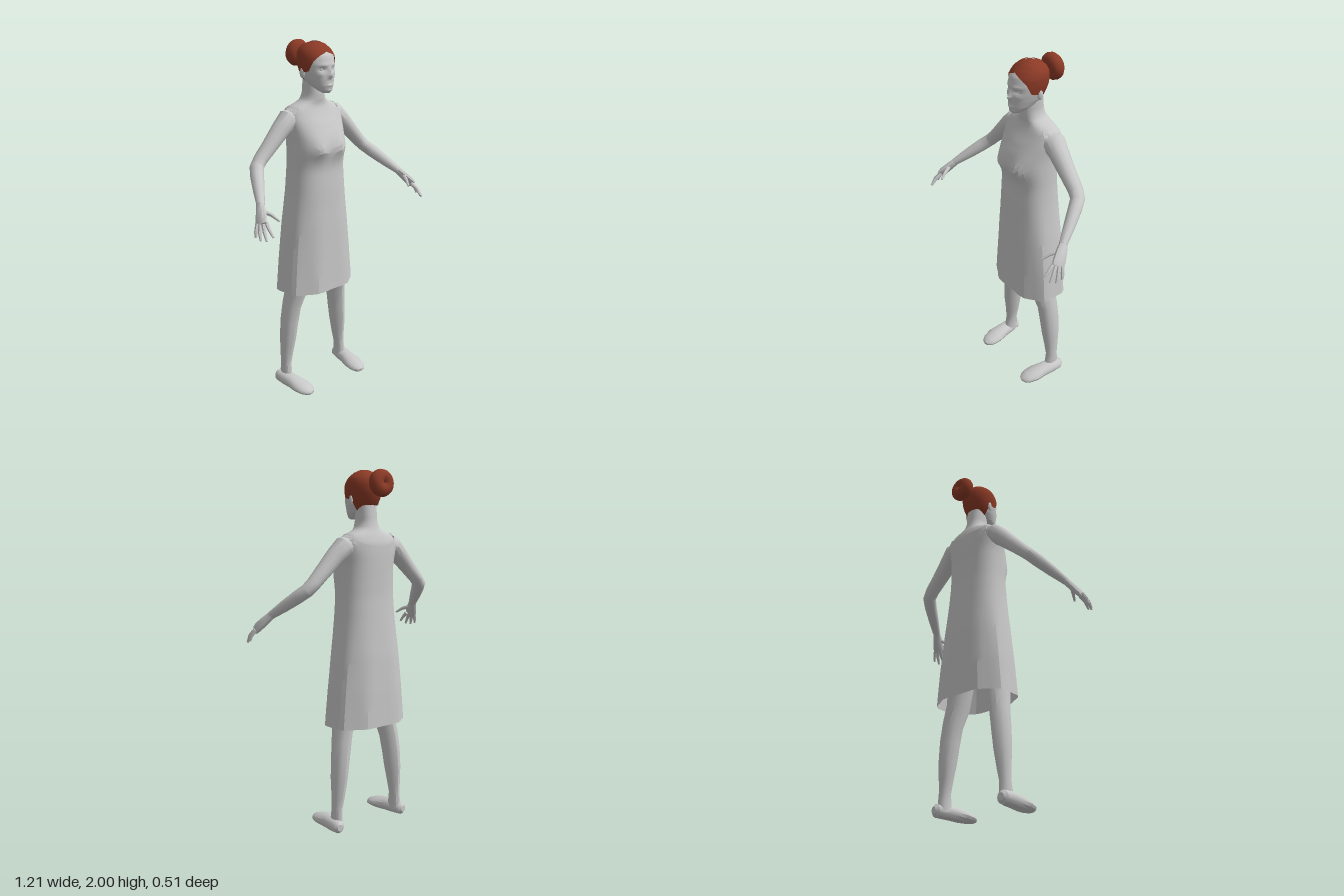
import * as THREE from 'three';
import { toCreasedNormals } from 'three/addons/utils/BufferGeometryUtils.js';

const grey = new THREE.MeshStandardMaterial({ color: 0xc8c8c8 });
grey.name = 'pale grey';
const cloth = new THREE.MeshStandardMaterial({ color: 0xc8c8c8, side: THREE.DoubleSide });
cloth.name = 'pale grey cloth';
const red = new THREE.MeshStandardMaterial({ color: 0x8b3a26, side: THREE.DoubleSide });
red.name = 'auburn hair';

// Cross-sections: height, half width, front z, back z
const BODY = [
  [0.6, 0.235, 0.075, -0.225], [0.8, 0.218, 0.07, -0.222], [1.0, 0.195, 0.066, -0.215],
  [1.1, 0.182, 0.062, -0.207], [1.2, 0.17, 0.06, -0.2], [1.32, 0.162, 0.054, -0.192],
  [1.42, 0.162, 0.066, -0.192], [1.5, 0.163, 0.06, -0.193], [1.56, 0.172, 0.03, -0.193],
  [1.61, 0.18, 0, -0.19], [1.65, 0.165, -0.02, -0.175], [1.67, 0.11, -0.025, -0.165],
  [1.69, 0.068, -0.02, -0.155], [1.73, 0.055, -0.018, -0.145], [1.82, 0.055, -0.03, -0.135],
];
const HEAD = [
  [1.737, 0.02, 0.045, 0], [1.75, 0.04, 0.055, -0.03], [1.775, 0.06, 0.058, -0.09],
  [1.81, 0.076, 0.058, -0.13], [1.85, 0.088, 0.055, -0.152], [1.89, 0.094, 0.052, -0.165],
  [1.93, 0.094, 0.04, -0.165], [1.96, 0.083, 0.015, -0.152], [1.985, 0.055, -0.015, -0.125],
  [2.0, 0.018, -0.045, -0.085],
];
// Upper edge of the dress and lower edge of the hair, by angle from the front
const NECKLINE = [[0, 1.555], [0.35, 1.57], [0.7, 1.62], [1, 1.66], [2.1, 1.66], [2.5, 1.62], [Math.PI, 1.59]];
const HAIRLINE = [[0, 1.952], [0.5, 1.935], [0.9, 1.905], [1.25, 1.85], [1.7, 1.845], [2.2, 1.785], [Math.PI, 1.755]];

// Soft bumps: x, y, x spread, y spread, depth
const FACE = [[0, 1.828, 0.011, 0.012, 0.021], [0, 1.853, 0.009, 0.018, 0.01],
  [0, 1.778, 0.02, 0.007, 0.008], [0, 1.75, 0.016, 0.01, 0.004]];
for (const s of [1, -1]) {
  FACE.push([s * 0.036, 1.862, 0.018, 0.01, -0.012], [s * 0.032, 1.885, 0.022, 0.008, 0.005],
    [s * 0.05, 1.835, 0.018, 0.015, 0.004]);
}
const BUST = [[0.075, 1.435, 0.055, 0.05, 0.028], [-0.075, 1.435, 0.055, 0.05, 0.028]];

function bumps(list, p) {
  let d = 0;
  for (const [x, y, sx, sy, h] of list) d += h * Math.exp(-(((p.x - x) / sx) ** 2) - ((p.y - y) / sy) ** 2);
  return d;
}

// Linear lookup in a table keyed by its first column
function lookup(table, k) {
  if (k <= table[0][0]) return table[0];
  for (let i = 1; i < table.length; i++) {
    if (k > table[i][0]) continue;
    const a = table[i - 1], b = table[i], f = (k - a[0]) / (b[0] - a[0]);
    return a.map((v, n) => v + (b[n] - v) * f);
  }
  return table[table.length - 1];
}
const edge = (table) => (t) => lookup(table, t > Math.PI ? 2 * Math.PI - t : t)[1];

// Closed rings joined into a skin, optionally capped
function skin(rows, sides, point, capped, crease = 0.6) {
  const pos = [], idx = [];
  for (let i = 0; i < rows; i++) {
    for (let j = 0; j < sides; j++) pos.push(...point(i, (j / sides) * Math.PI * 2).toArray());
  }
  for (let i = 0; i < rows - 1; i++) {
    for (let j = 0; j < sides; j++) {
      const a = i * sides + j, b = i * sides + ((j + 1) % sides);
      idx.push(a, b, b + sides, a, b + sides, a + sides);
    }
  }
  if (capped) {
    for (const row of [0, rows - 1]) {
      const c = new THREE.Vector3(), at = row * sides, n = pos.length / 3;
      for (let j = 0; j < sides; j++) c.add(new THREE.Vector3().fromArray(pos, (at + j) * 3));
      pos.push(...c.divideScalar(sides).toArray());
      for (let j = 0; j < sides; j++) {
        const a = at + j, b = at + ((j + 1) % sides);
        idx.push(n, row ? a : b, row ? b : a);
      }
    }
  }
  const g = new THREE.BufferGeometry();
  g.setAttribute('position', new THREE.Float32BufferAttribute(pos, 3));
  g.setIndex(idx);
  return toCreasedNormals(g, crease);
}

// Upright shell over a section table, between a lower and an upper edge
function shell(o) {
  const pw = (v) => Math.sign(v) * Math.abs(v) ** (2 / (o.square || 2));
  return skin(o.rows, o.sides, (i, t) => {
    const u = i / (o.rows - 1), lo = o.low(t), hi = o.high(t);
    const y = lo + (hi - lo) * (1 - (1 - u) ** (o.ease || 1));
    const [, w, f, b] = lookup(o.table, y), k = o.offset || 0;
    const p = new THREE.Vector3((w + k) * pw(Math.sin(t)), y, (f + b) / 2 + ((f - b) / 2 + k) * pw(Math.cos(t)));
    if (o.shape) o.shape(p, t);
    return p;
  }, o.capped, o.crease);
}

// Tapered limb through points x, y, z, radius, second radius
function limb(pts, side, sides = 10, ref = new THREE.Vector3(0, 0, 1)) {
  const c = pts.map((p) => new THREE.Vector3(p[0] * side, p[1], p[2]));
  return skin(pts.length, sides, (i, t) => {
    const dir = c[Math.min(i + 1, c.length - 1)].clone().sub(c[Math.max(i - 1, 0)]).normalize();
    const u = ref.clone().cross(dir).normalize(), v = dir.clone().cross(u);
    const a = pts[i][3], b = pts[i][4] ?? a;
    const p = c[i].clone().addScaledVector(u, a * Math.cos(t)).addScaledVector(v, b * Math.sin(t));
    p.y = Math.max(p.y, 0);
    return p;
  }, true);
}

export function createModel() {
  const model = new THREE.Group();
  model.name = 'woman';
  const add = (name, geo, mat = grey, parent = model) => {
    const m = new THREE.Mesh(geo, mat);
    m.name = name;
    parent.add(m);
    return m;
  };

  // Torso, neck and dress
  add('neckAndShoulders', shell({ table: BODY, rows: 26, sides: 28, square: 2.3, low: () => 1.45, high: () => 1.82, capped: true }));
  add('dress', shell({
    table: BODY, rows: 34, sides: 36, square: 2.4, offset: 0.005, crease: 0.35,
    low: () => 0.6, high: edge(NECKLINE),
    shape: (p, t) => {
      if (Math.cos(t) > 0) p.z += bumps(BUST, p);
      const fold = 0.006 * Math.max(0, Math.min(1, (1.15 - p.y) / 0.5)) * Math.cos(8 * t + 2.6);
      p.x += fold * Math.sin(t);
      p.z += fold * Math.cos(t);
    },
  }), cloth);

  // Head, hair and bun
  add('head', shell({
    table: HEAD, rows: 42, sides: 56, low: () => 1.737, high: () => 1.99, capped: true, crease: 0.8,
    shape: (p, t) => { if (Math.cos(t) > 0) p.z += bumps(FACE, p); },
  }));
  add('hair', shell({
    table: HEAD, rows: 16, sides: 36, offset: 0.005, ease: 1.6, capped: false,
    low: edge(HAIRLINE), high: () => 2,
  }), red);
  const crown = add('hairCrown', new THREE.SphereGeometry(0.024, 16, 8), red);
  crown.scale.y = 0.15;
  crown.position.set(0, 1.9965, -0.065);
  const bun = add('hairBun', new THREE.TorusGeometry(0.034, 0.04, 12, 24), red);
  bun.position.set(0, 1.928, -0.213);
  bun.rotation.x = 0.12;

  for (const s of [1, -1]) {
    const side = s > 0 ? 'left' : 'right';
    const eye = add(side + 'Eye', new THREE.SphereGeometry(0.013, 12, 8));
    eye.position.set(s * 0.036, 1.862, 0.025);
    const ear = add(side + 'Ear', new THREE.SphereGeometry(0.026, 10, 8));
    ear.scale.set(0.35, 1.1, 0.6);
    ear.position.set(s * 0.09, 1.84, -0.065);
    ear.rotation.y = s * -0.3;

    // Arm and hand
    const arm = new THREE.Group();
    arm.name = side + 'Arm';
    model.add(arm);
    add('arm', limb([
      [0.11, 1.6, -0.1, 0.05, 0.06], [0.165, 1.59, -0.1, 0.06, 0.066], [0.215, 1.55, -0.097, 0.051, 0.055],
      [0.3, 1.465, -0.094, 0.042, 0.046], [0.36, 1.405, -0.094, 0.037, 0.042], [0.395, 1.37, -0.083, 0.036, 0.04],
      [0.425, 1.335, -0.04, 0.036, 0.037], [0.465, 1.285, 0.025, 0.031, 0.031], [0.51, 1.228, 0.1, 0.021, 0.022],
    ], s, 12), grey, arm);
    add('palm', limb([
      [0.505, 1.235, 0.09, 0.02, 0.022], [0.525, 1.205, 0.12, 0.021, 0.03],
      [0.55, 1.168, 0.155, 0.02, 0.037], [0.56, 1.15, 0.172, 0.013, 0.034],
    ], s), grey, arm);
    const fingers = [
      [[0.538, 1.16, 0.18], [0.546, 1.135, 0.215], [0.545, 1.1, 0.248]],
      [[0.552, 1.155, 0.175], [0.57, 1.12, 0.208], [0.575, 1.082, 0.232]],
      [[0.564, 1.152, 0.165], [0.586, 1.115, 0.19], [0.592, 1.08, 0.205]],
      [[0.572, 1.152, 0.152], [0.592, 1.118, 0.165], [0.597, 1.09, 0.17]],
      [[0.52, 1.205, 0.13], [0.497, 1.19, 0.175], [0.478, 1.163, 0.213]],
    ];
    fingers.forEach((f, i) => add(i < 4 ? 'finger' : 'thumb',
      limb(f.map((p, n) => [...p, [0.012, 0.01, 0.006][n]]), s, 7), grey, arm));

    // Leg and shoe
    add(side + 'Leg', limb([
      [0.213, 0.03, -0.085, 0.03, 0.045], [0.214, 0.08, -0.09, 0.029, 0.042], [0.212, 0.13, -0.092, 0.029, 0.036],
      [0.205, 0.2, -0.093, 0.036, 0.043], [0.196, 0.3, -0.091, 0.045, 0.055], [0.186, 0.4, -0.088, 0.05, 0.06],
      [0.172, 0.5, -0.082, 0.053, 0.062], [0.15, 0.6, -0.065, 0.057, 0.073], [0.115, 0.85, -0.06, 0.075, 0.085],
    ], s, 12));
    add(side + 'Shoe', limb([
      [0.234, 0.036, -0.152, 0.016, 0.02], [0.232, 0.036, -0.135, 0.034, 0.036], [0.226, 0.036, -0.08, 0.043, 0.04],
      [0.219, 0.034, -0.02, 0.047, 0.039], [0.212, 0.028, 0.04, 0.056, 0.034], [0.204, 0.022, 0.09, 0.05, 0.026],
      [0.197, 0.018, 0.115, 0.036, 0.019], [0.193, 0.016, 0.128, 0.016, 0.01],
    ], s, 14, new THREE.Vector3(0, 1, 0)));
  }
  return model;
}
